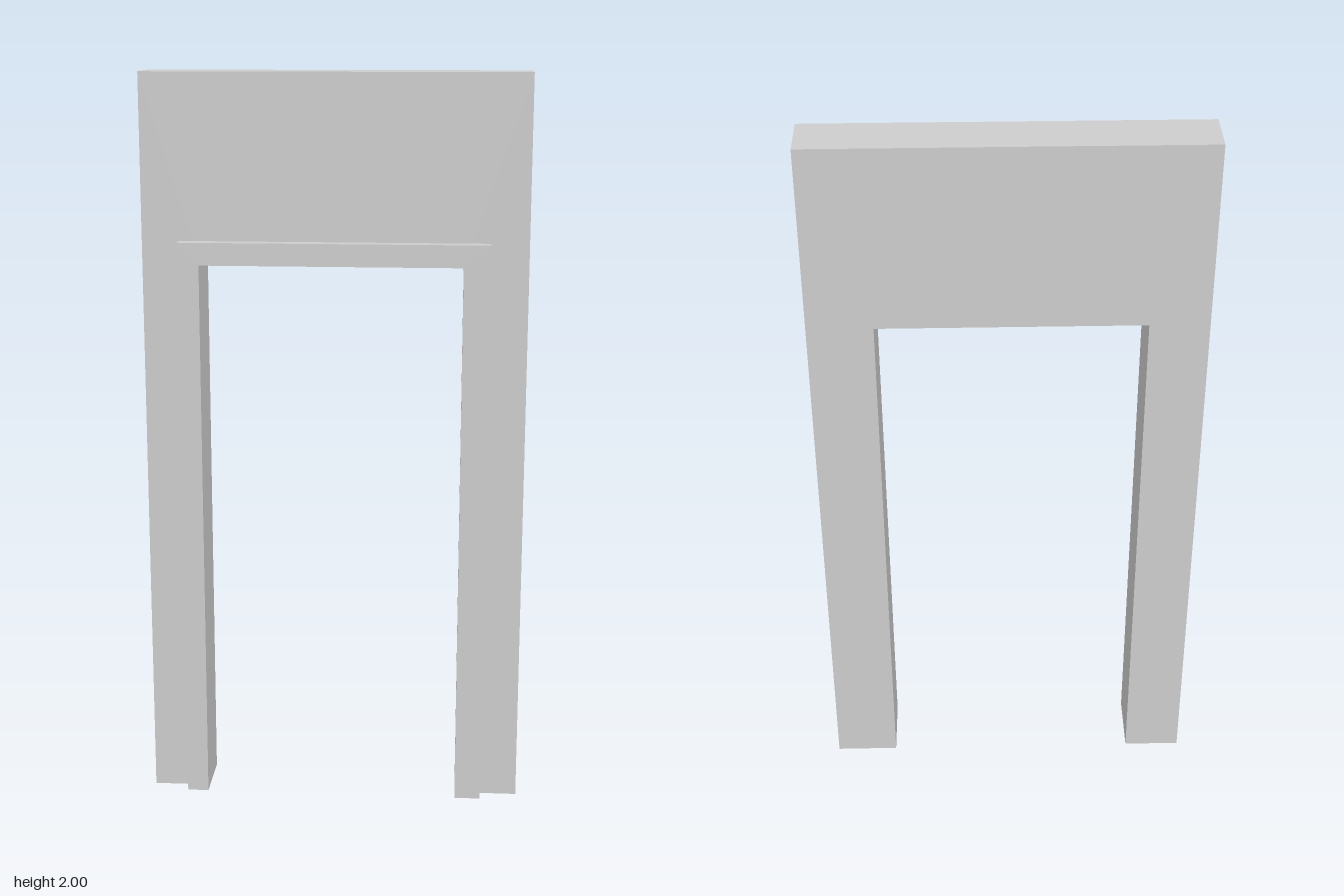
import * as THREE from 'three';

// Doorway outline: an upright panel with an opening reaching the floor
const OPENING = { left: -0.357, right: 0.341, top: 1.5 };

function portal(name, left, right, top, back, front, material) {
  const shape = new THREE.Shape([
    [left, 0], [OPENING.left, 0], [OPENING.left, OPENING.top],
    [OPENING.right, OPENING.top], [OPENING.right, 0],
    [right, 0], [right, top], [left, top],
  ].map(([x, y]) => new THREE.Vector2(x, y)));
  const geometry = new THREE.ExtrudeGeometry(shape, { depth: front - back, bevelEnabled: false });
  geometry.translate(0, 0, back);
  const mesh = new THREE.Mesh(geometry, material);
  mesh.name = name;
  return mesh;
}

export function createModel() {
  const group = new THREE.Group();
  group.name = 'doorway';

  const plaster = new THREE.MeshStandardMaterial({ color: 0xcccccc });
  plaster.name = 'light grey';

  // Thick wall, and the raised trim around the opening on its front
  group.add(portal('wall', -0.513, 0.513, 2, -0.087, 0.05, plaster));
  group.add(portal('doorTrim', -0.415, 0.412, 1.56, 0.05, 0.087, plaster));
  return group;
}
